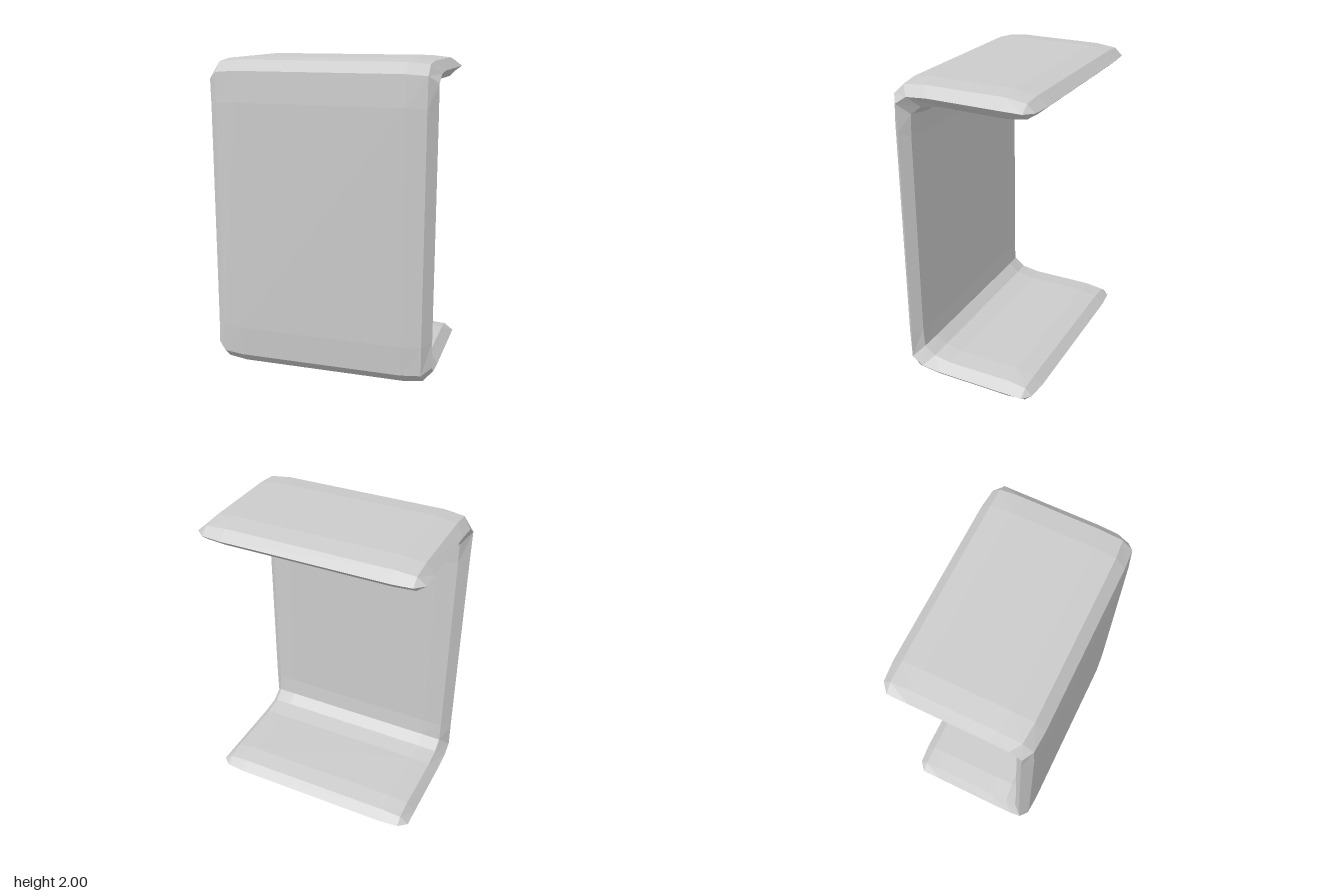
import * as THREE from 'three';

// Upper half of the bent slab's section: [outer z, outer y, inner z, inner y, ridge blend]
const HALF = [
  [-0.40, 1.98, -0.40, 1.875, 0.5],
  [-0.27, 2.00, -0.28, 1.855, 0.5],
  [0.25, 2.00, 0.13, 1.86, 0.5],
  [0.385, 1.985, 0.25, 1.84, 0.55],
  [0.45, 1.92, 0.32, 1.785, 0.62],
  [0.46, 1.73, 0.33, 1.66, 0.5],
];
const TIP = { point: [-0.46, 1.925], centre: [-0.395, 1.925] };

// Stations across the width: [x, share of full thickness]
const STATIONS = [
  [-0.715, 0], [-0.658, 0.82], [-0.53, 1],
  [0.53, 1], [0.658, 0.82], [0.715, 0],
];

// Closed section loop; every point knows the ridge point it shrinks toward
function sectionLoop() {
  const flip = ([z, y]) => [z, 2 - y];
  const mirror = (p) => ({ point: flip(p.point), centre: flip(p.centre) });
  const outer = [], inner = [];
  for (const [oz, oy, iz, iy, t] of HALF) {
    const centre = [iz + (oz - iz) * t, iy + (oy - iy) * t];
    outer.push({ point: [oz, oy], centre });
    inner.push({ point: [iz, iy], centre });
  }
  return [
    TIP, ...outer, ...outer.map(mirror).reverse(),
    mirror(TIP), ...inner.map(mirror), ...[...inner].reverse(),
  ];
}

// Loft the section across x, thinning to a ridge at both sides
function bentSlab() {
  const loop = sectionLoop();
  const n = loop.length;
  const positions = [], index = [];
  STATIONS.forEach(([x, s], j) => {
    loop.forEach(({ point, centre }, i) => {
      const [z, y] = centre.map((c, k) => c + (point[k] - c) * s);
      positions.push(x, y, z);
      if (j === STATIONS.length - 1) return;
      const a = j * n + i, b = j * n + (i + 1) % n;
      index.push(a, b, a + n, b, b + n, a + n);
    });
  });
  const geometry = new THREE.BufferGeometry();
  geometry.setAttribute('position', new THREE.Float32BufferAttribute(positions, 3));
  geometry.setIndex(index);
  geometry.computeVertexNormals();
  return geometry;
}

export function createModel() {
  const group = new THREE.Group();
  group.name = 'bracket';
  // Upright front panel with top and bottom plates bent backward
  const material = new THREE.MeshStandardMaterial({ color: 0xcccccc, flatShading: true });
  const slab = new THREE.Mesh(bentSlab(), material);
  slab.name = 'channelPanel';
  group.add(slab);
  return group;
}
